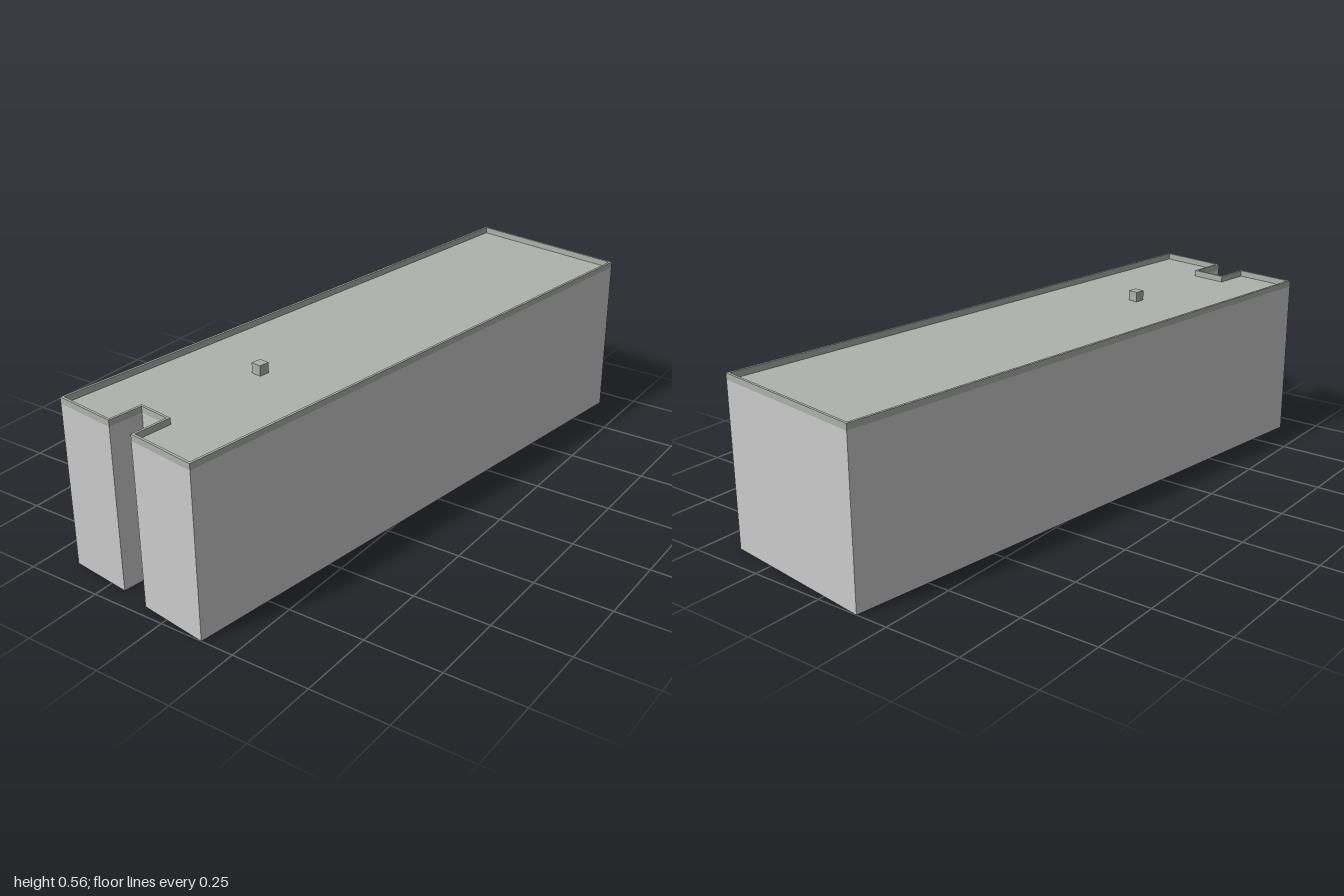
import * as THREE from 'three';

// Plan outline as [x, z], counter-clockwise seen from above, with the entrance notch at the front
const PLAN = [
  [-0.403, 0.912], [-0.193, 0.94], [-0.178, 0.828], [-0.075, 0.843],
  [-0.09, 0.965], [0.143, 1], [0.403, -0.92], [-0.143, -1],
].map(([x, z]) => new THREE.Vector2(x, z));
const ROOF_Y = 0.525, TOP_Y = 0.545, WALL = 0.008, FLOORS = 6;

// Unit normal of edge i, pointing into the building
function inward(i) {
  const n = PLAN.length;
  const d = PLAN[(i + 1) % n].clone().sub(PLAN[(i + n) % n]).normalize();
  return new THREE.Vector2(d.y, -d.x);
}

// Mitred inset of the outline
function inset(t) {
  return PLAN.map((p, i) => {
    const a = inward((i + PLAN.length - 1) % PLAN.length), b = inward(i);
    return p.clone().addScaledVector(a.clone().add(b), t / (1 + a.dot(b)));
  });
}

// Vertical prism from y0 to y1, optionally hollow
function prism(outer, y0, y1, hole) {
  const flip = (pts) => pts.map((p) => new THREE.Vector2(p.x, -p.y));
  const shape = new THREE.Shape(flip(outer));
  if (hole) shape.holes.push(new THREE.Path(flip(hole)));
  const g = new THREE.ExtrudeGeometry(shape, { depth: y1 - y0, bevelEnabled: false });
  return g.rotateX(-Math.PI / 2).translate(0, y0, 0);
}

export function createModel() {
  const model = new THREE.Group();
  model.name = 'building';
  const wallMat = new THREE.MeshStandardMaterial({ color: 0xcccccc });
  const roofMat = new THREE.MeshStandardMaterial({ color: 0xaeb2ac });
  const frameMat = new THREE.MeshStandardMaterial({ color: 0x6f7371 });
  const tealMat = new THREE.MeshStandardMaterial({ color: 0x5f8682 });

  const add = (name, geometry, material, parent = model) => {
    const mesh = new THREE.Mesh(geometry, material);
    mesh.name = name;
    parent.add(mesh);
    return mesh;
  };

  // Shell, open at the bottom, with a sunken roof behind a low parapet
  add('walls', prism(PLAN, 0, ROOF_Y, inset(WALL)), wallMat);
  add('parapet', prism(PLAN, ROOF_Y, TOP_Y, inset(WALL)), roofMat);
  add('roof', prism(inset(WALL), ROOF_Y - 0.006, ROOF_Y, null), roofMat);

  // Small vent on the roof
  const vent = add('roofVent', new THREE.BoxGeometry(0.034, 0.034, 0.034), roofMat);
  vent.position.set(-0.07, 0.541, 0.445);
  vent.rotation.y = -0.14;

  // Windows on the inner wall faces; all floors but the lowest have a ledge
  const pane = new THREE.BoxGeometry(0.042, 0.046, 0.008);
  const ledge = new THREE.BoxGeometry(0.046, 0.008, 0.028);
  const floorH = ROOF_Y / FLOORS;
  PLAN.forEach((p, i) => {
    const q = PLAN[(i + 1) % PLAN.length];
    const n = inward(i);
    const length = p.distanceTo(q);
    const long = length > 0.5;
    const columns = Math.max(1, Math.round(length / (long ? 0.16 : 0.1)));
    for (let c = 0; c < columns; c++) {
      const at = p.clone().lerp(q, (c + 0.5) / columns).addScaledVector(n, WALL);
      const column = new THREE.Group();
      column.name = 'windowColumn';
      column.position.set(at.x, 0, at.y);
      column.rotation.y = Math.atan2(n.x, n.y);
      for (let f = 0; f < FLOORS; f++) {
        const y = (f + 0.5) * floorH;
        add('window', pane, frameMat, column).position.set(0, y, 0.003);
        if (f > 0) {
          add('windowLedge', ledge, long ? frameMat : tealMat, column)
            .position.set(0, y - 0.025, 0.013);
        }
      }
      model.add(column);
    }
  });
  return model;
}
